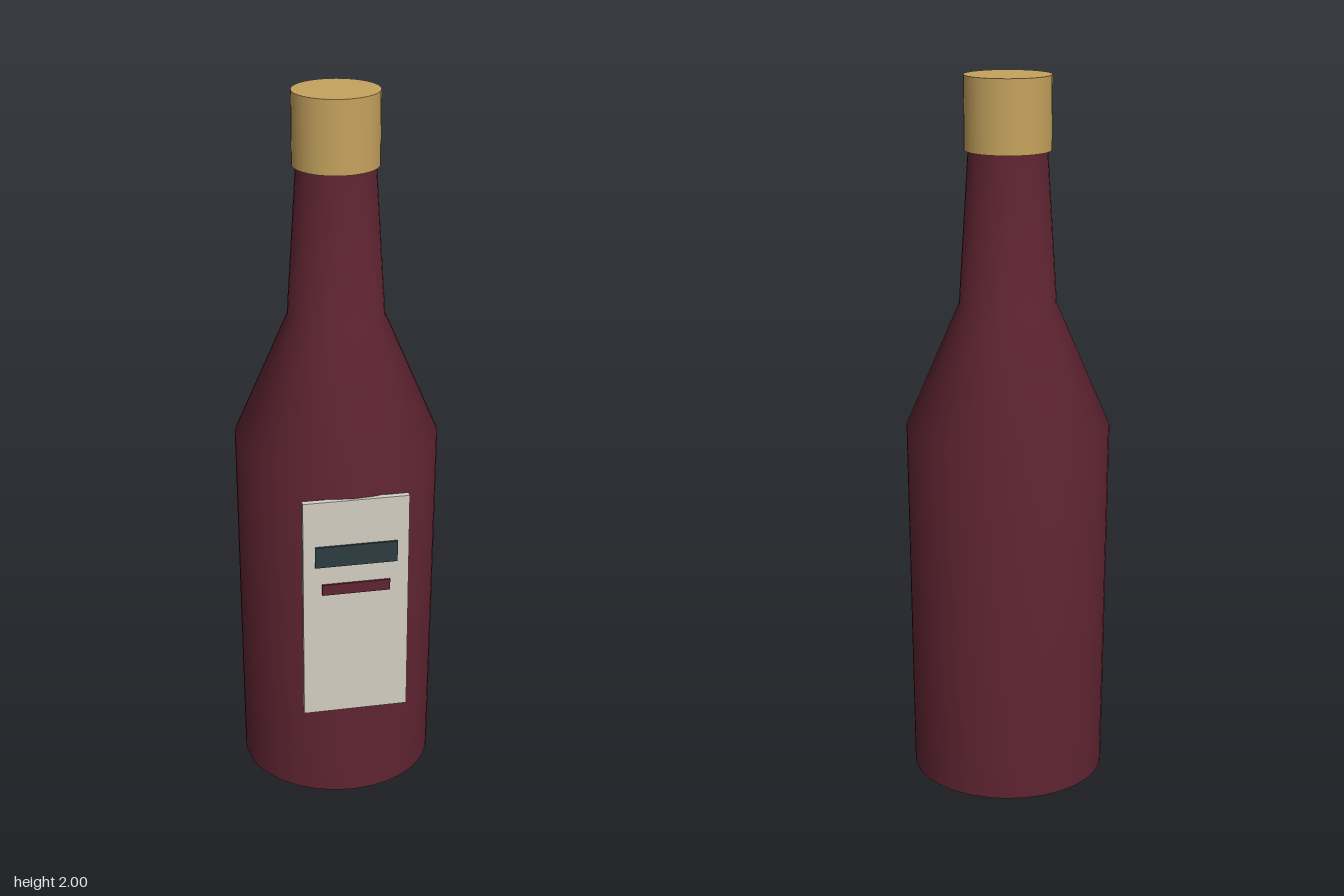
import * as THREE from 'three';

const mat = (name, color, side = THREE.FrontSide) => {
  const m = new THREE.MeshStandardMaterial({ color, side });
  m.name = name;
  return m;
};

export function createModel() {
  const model = new THREE.Group();
  model.name = 'bottle';

  const wine = mat('wine red', 0x5f2431, THREE.DoubleSide);
  const gold = mat('gold', 0xc6a35e);
  const cream = mat('cream', 0xd3cec1);
  const slate = mat('dark slate', 0x2c3b40);

  const add = (name, geometry, material, parent = model) => {
    const mesh = new THREE.Mesh(geometry, material);
    mesh.name = name;
    parent.add(mesh);
    return mesh;
  };

  // Round parts share a slightly flattened cross-section
  const vessel = new THREE.Group();
  vessel.name = 'vessel';
  vessel.scale.z = 0.98;
  vessel.position.z = -0.007;
  model.add(vessel);

  // Body, shoulder and neck
  const profile = [[0.275, 0], [0.2855, 1.03], [0.135, 1.38], [0.107, 1.82]]
    .map(([r, y]) => new THREE.Vector2(r, y));
  add('bottleBody', new THREE.LatheGeometry(profile, 32), wine, vessel);

  // Recessed base inside the foot
  const base = add('recessedBase', new THREE.CircleGeometry(0.2755, 32), wine, vessel);
  base.rotation.x = Math.PI / 2;
  base.position.y = 0.09;

  // Cap
  add('cap', new THREE.CylinderGeometry(0.119, 0.119, 0.2, 32), gold, vessel)
    .position.y = 1.9;

  // Flat plates on the front: name, material, width, bottom, top, back, front
  const plate = (name, material, w, y0, y1, z0, z1) =>
    add(name, new THREE.BoxGeometry(w, y1 - y0, z1 - z0), material)
      .position.set(0, (y0 + y1) / 2, (z0 + z1) / 2);
  plate('label', cream, 0.295, 0.29, 0.95, 0.262, 0.28);
  plate('labelUpperBar', slate, 0.23, 0.755, 0.817, 0.279, 0.286);
  plate('labelLowerBar', wine, 0.19, 0.668, 0.7, 0.279, 0.286);

  return model;
}
